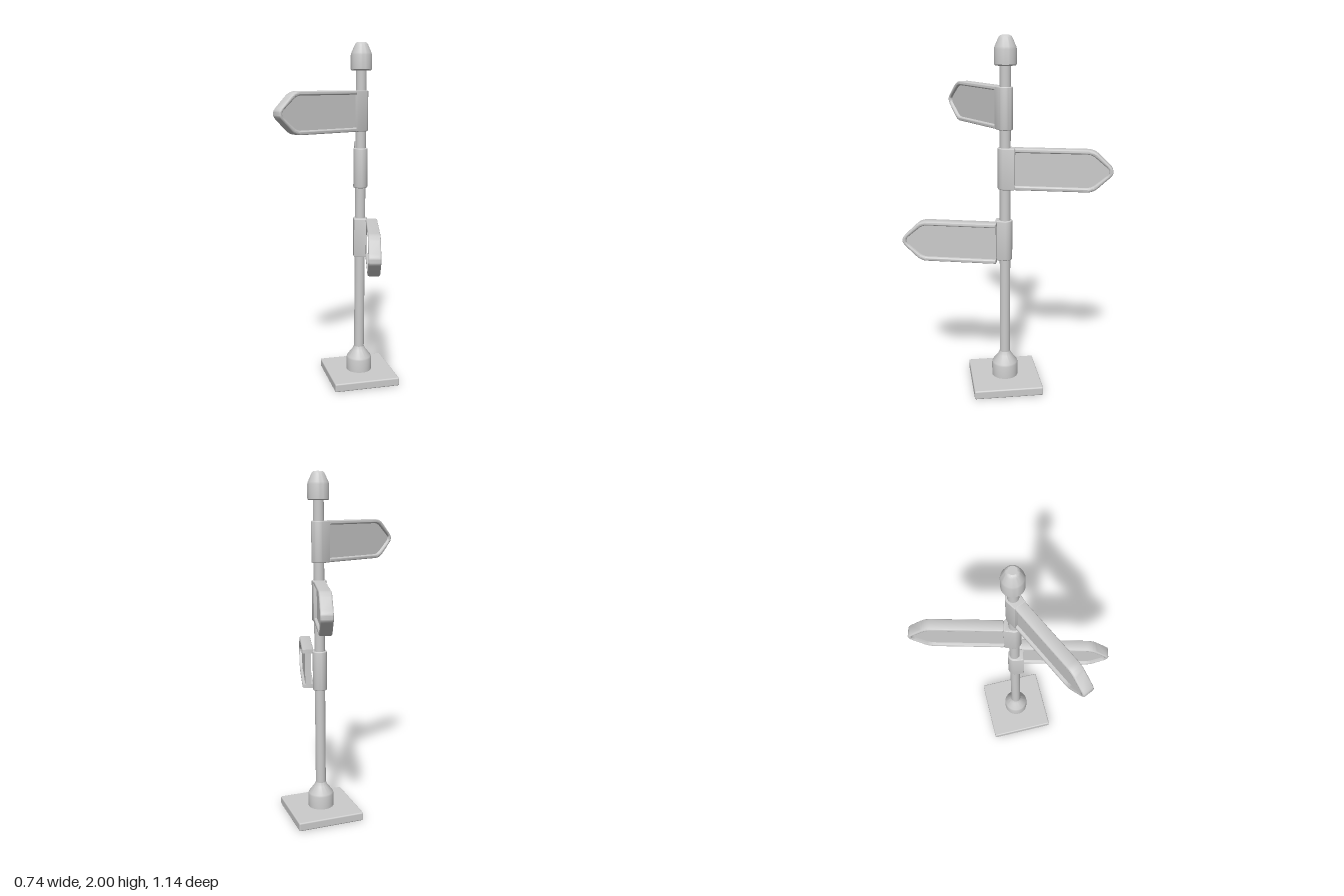
import * as THREE from 'three';
import { toCreasedNormals } from 'three/addons/utils/BufferGeometryUtils.js';
import { RoundedBoxGeometry } from 'three/addons/geometries/RoundedBoxGeometry.js';

const POLE_X = 0.172, POLE_Z = -0.003, SIGN_H = 0.23;
const grey = new THREE.MeshStandardMaterial({ color: 0xcccccc });

function mesh(name, geometry, parent) {
  const m = new THREE.Mesh(geometry, grey);
  m.name = name;
  parent.add(m);
  return m;
}

function lathe(points) {
  const g = new THREE.LatheGeometry(points.map(([r, y]) => new THREE.Vector2(r, y)), 40);
  return toCreasedNormals(g.toNonIndexed(), 0.5);
}

// Extrudes a shape with rounded edges, centred on z = 0 and kept inside its outline
function slab(shape, thickness, bevel) {
  const g = new THREE.ExtrudeGeometry(shape, {
    depth: thickness - 2 * bevel, bevelEnabled: bevel > 0, bevelThickness: bevel,
    bevelSize: bevel, bevelOffset: -bevel, bevelSegments: 4, curveSegments: 8,
  });
  g.translate(0, 0, -thickness / 2 + bevel);
  return toCreasedNormals(g, 0.6);
}

// Arrow outline from the lower open end, round the tip, to the upper open end
function outerEdge(s) {
  s.moveTo(0, -0.115);
  s.lineTo(0.39, -0.115);
  s.quadraticCurveTo(0.425, -0.115, 0.452, -0.09);
  s.lineTo(0.51, -0.035);
  s.quadraticCurveTo(0.55, 0, 0.51, 0.035);
  s.lineTo(0.452, 0.09);
  s.quadraticCurveTo(0.425, 0.115, 0.39, 0.115);
  s.lineTo(0, 0.115);
}

function rimShape() {
  const s = new THREE.Shape();
  outerEdge(s);
  s.lineTo(0, 0.092);
  s.lineTo(0.385, 0.092);
  s.quadraticCurveTo(0.415, 0.092, 0.436, 0.073);
  s.lineTo(0.493, 0.025);
  s.quadraticCurveTo(0.525, 0, 0.493, -0.025);
  s.lineTo(0.436, -0.073);
  s.quadraticCurveTo(0.415, -0.092, 0.385, -0.092);
  s.lineTo(0, -0.092);
  s.closePath();
  return s;
}

// Board filling the rim, stopping midway inside it
function panelShape() {
  const s = new THREE.Shape();
  s.moveTo(0.002, -0.102);
  s.lineTo(0.42, -0.102);
  s.lineTo(0.515, -0.012);
  s.lineTo(0.515, 0.012);
  s.lineTo(0.42, 0.102);
  s.lineTo(0.002, 0.102);
  s.closePath();
  return s;
}

// Collar section: round behind the pole, flat where the sign joins
function collarGeometry() {
  const s = new THREE.Shape();
  s.moveTo(0.055, 0.034);
  s.lineTo(0, 0.041);
  s.absarc(0, 0, 0.041, Math.PI / 2, Math.PI * 1.5, false);
  s.lineTo(0.055, -0.034);
  s.closePath();
  return slab(s, SIGN_H, 0.005).rotateX(-Math.PI / 2);
}

export function createModel() {
  const model = new THREE.Group();
  model.name = 'signpost';

  const post = new THREE.Group();
  post.name = 'post';
  post.position.set(POLE_X, 0, POLE_Z);
  model.add(post);

  // Base plate, foot, pole and cap
  mesh('basePlate', new RoundedBoxGeometry(0.394, 0.05, 0.394, 3, 0.008), post).position.y = 0.025;
  mesh('foot', lathe([[0, 0.045], [0.075, 0.045], [0.075, 0.125], [0.072, 0.136],
    [0.04, 0.178], [0.034, 0.19], [0.03, 0.2]]), post);
  mesh('pole', new THREE.CylinderGeometry(0.03, 0.03, 1.83, 32), post).position.y = 0.96;
  mesh('cap', lathe([[0, 1.845], [0.055, 1.845], [0.06, 1.851], [0.06, 1.93], [0.057, 1.942],
    [0.038, 1.985], [0.032, 1.995], [0.024, 2], [0, 2]]), post);

  // Signs: height, pointing direction, start distance and sideways offset
  const rim = slab(rimShape(), 0.067, 0.009);
  const panel = slab(panelShape(), 0.034, 0);
  const collar = collarGeometry();
  const signs = [
    { name: 'upperSign', y: 1.62, dir: [-0.906, 0.423], start: 0.055, side: 0 },
    { name: 'middleSign', y: 1.293, dir: [0.259, -0.966], start: 0.055, side: 0 },
    { name: 'lowerSign', y: 0.885, dir: [-0.259, 0.966], start: 0.039, side: -0.066 },
  ];
  for (const { name, y, dir, start, side } of signs) {
    const sign = new THREE.Group();
    sign.name = name;
    sign.position.y = y;
    sign.rotation.y = Math.atan2(-dir[1], dir[0]);
    mesh('collar', collar, sign);
    mesh('rim', rim, sign).position.set(start, 0, side);
    mesh('panel', panel, sign).position.set(start, 0, side);
    post.add(sign);
  }
  return model;
}
